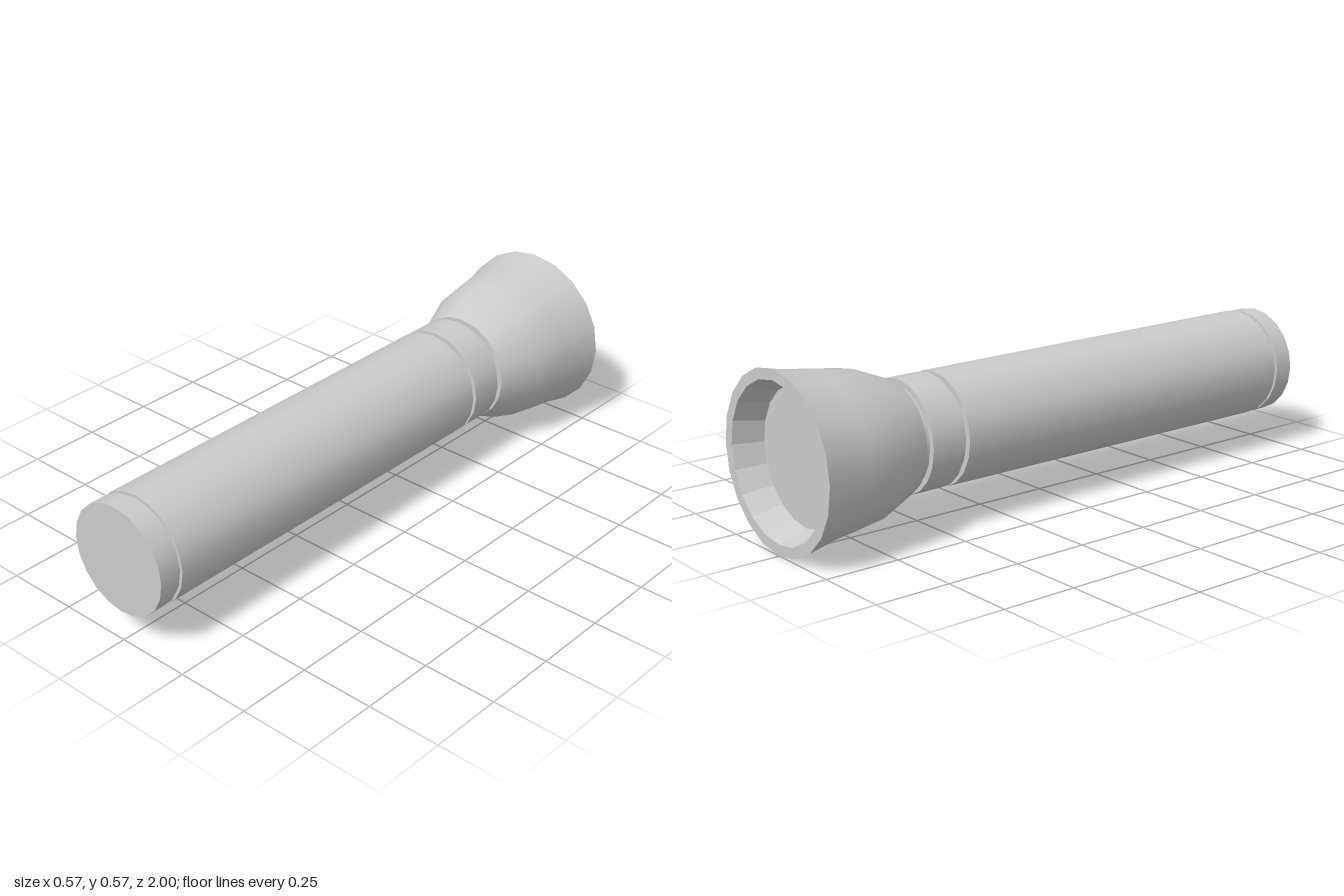
import * as THREE from 'three';
import { mergeGeometries } from 'three/addons/utils/BufferGeometryUtils.js';

const SIDES = 20;
const AXIS_Y = 0.286;
const smooth = new THREE.MeshStandardMaterial({ color: 0xcccccc });
const faceted = new THREE.MeshStandardMaterial({ color: 0xcccccc, flatShading: true });

// Turned part along z. Each strip is a list of [radius, z]; strips meet at hard edges.
// Strips run towards +z on outer walls.
function turned(name, strips, material = smooth) {
  const lathes = strips.map((strip) =>
    new THREE.LatheGeometry(strip.map(([r, z]) => new THREE.Vector2(r, z)), SIDES));
  const geometry = mergeGeometries(lathes);
  geometry.rotateX(Math.PI / 2);
  const mesh = new THREE.Mesh(geometry, material);
  mesh.name = name;
  return mesh;
}

// Solid cylinder from z0 (back) to z1 (front) with sharp ends
function barrel(name, r, z0, z1) {
  return turned(name, [
    [[0, z0], [r, z0]],
    [[r, z0], [r, z1]],
    [[r, z1], [0, z1]],
  ]);
}

export function createModel() {
  const torch = new THREE.Group();
  torch.name = 'flashlight';

  // Handle, tail cap and collar, with narrower necks showing as grooves
  torch.add(
    barrel('tailCap', 0.183, 0.932, 1),
    barrel('tailGroove', 0.174, 0.915, 0.937),
    barrel('handle', 0.185, -0.428, 0.918),
    barrel('handleGroove', 0.165, -0.45, -0.424),
    barrel('collar', 0.184, -0.564, -0.446),
    barrel('headGroove', 0.165, -0.592, -0.56),
  );

  // Flared head with flat rim and closed neck end
  torch.add(turned('head', [
    [[0.251, -1], [0.286, -1]],
    [[0.286, -1], [0.266, -0.91], [0.257, -0.84], [0.239, -0.72], [0.184, -0.587]],
    [[0.184, -0.587], [0, -0.587]],
  ]));

  // Sloping inside of the rim, and the lens at the bottom of the recess
  torch.add(
    turned('reflector', [[[0.22, -0.905], [0.251, -1]]], faceted),
    turned('lens', [[[0, -0.905], [0.22, -0.905]]]),
  );

  torch.children.forEach((part) => { part.position.y = AXIS_Y; });
  return torch;
}
